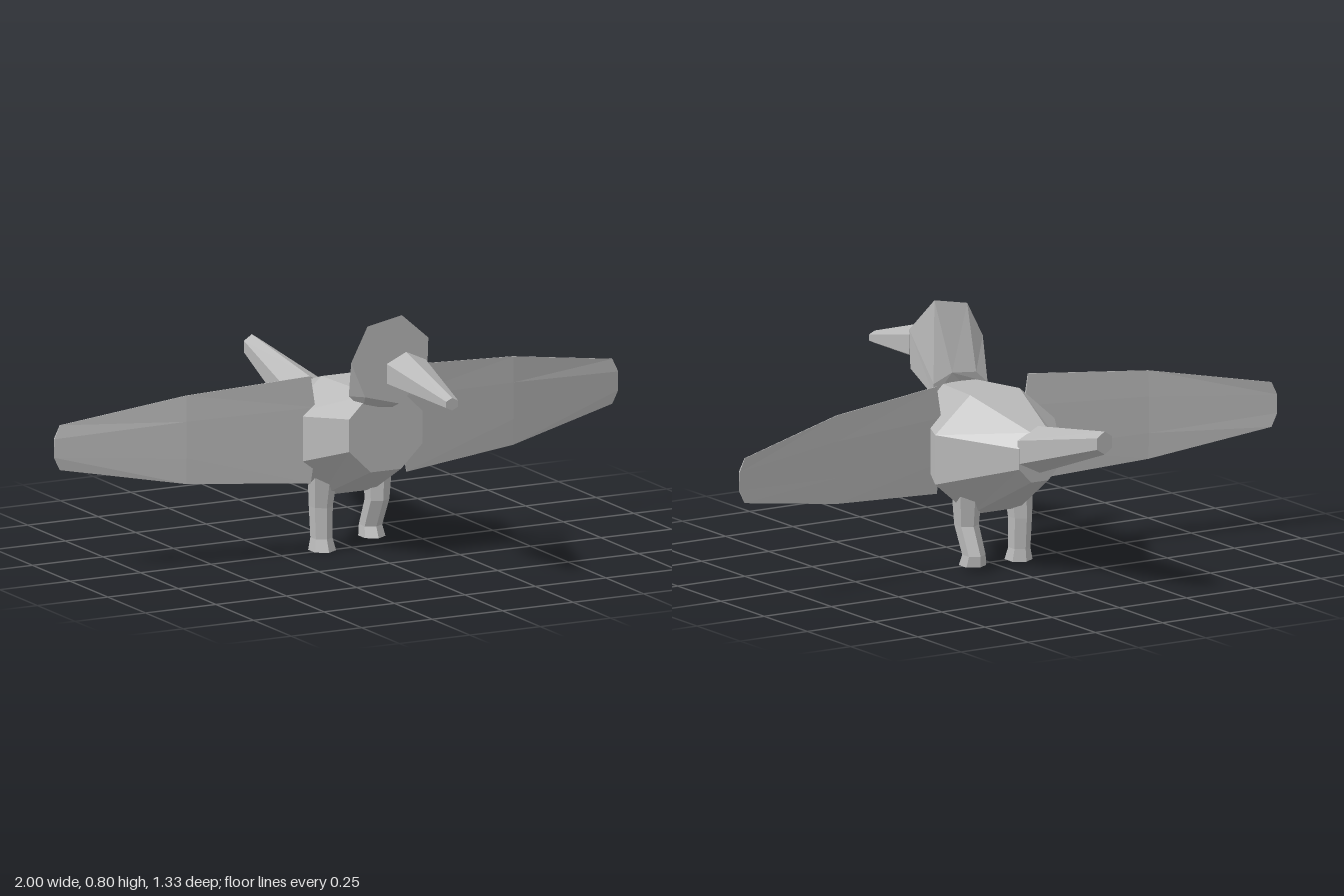
import * as THREE from 'three';

const grey = new THREE.MeshStandardMaterial({ color: 0xb8b8b8, flatShading: true });
grey.name = 'grey';

// Regular polygon of n points mapped through fn(cos, sin)
const ring = (n, startDeg, fn) => Array.from({ length: n }, (_, i) => {
  const a = THREE.MathUtils.degToRad(startDeg) + (i * Math.PI * 2) / n;
  return new THREE.Vector3(...fn(Math.cos(a), Math.sin(a)));
});

// Skin a list of equal-length rings, cap both ends, and face outward
function loft(name, rings) {
  const tris = [];
  const n = rings[0].length;
  for (let r = 0; r < rings.length - 1; r++) {
    for (let i = 0; i < n; i++) {
      const j = (i + 1) % n;
      const [a, b, c, d] = [rings[r][i], rings[r][j], rings[r + 1][j], rings[r + 1][i]];
      tris.push([a, b, c], [a, c, d]);
    }
  }
  const last = rings[rings.length - 1];
  for (let i = 1; i < n - 1; i++) {
    tris.push([rings[0][0], rings[0][i + 1], rings[0][i]], [last[0], last[i], last[i + 1]]);
  }
  const volume = tris.reduce((s, [a, b, c]) => s + a.dot(b.clone().cross(c)), 0);
  const points = tris.flatMap(([a, b, c]) => (volume < 0 ? [a, c, b] : [a, b, c]));
  const geometry = new THREE.BufferGeometry().setFromPoints(points);
  geometry.computeVertexNormals();
  const mesh = new THREE.Mesh(geometry, grey);
  mesh.name = name;
  return mesh;
}

// Hexagonal spike along z, with a ridge on top: sections are [z, y, halfWidth, halfHeight]
const spike = (name, sections) => loft(name, sections.map(([z, y, w, h]) =>
  ring(6, 90, (c, s) => [(c * w) / 0.866, y + s * h, z])));

// Flattened eight-sided wing, swept back toward the tip
function wing(name, side) {
  const sections = [
    // x, halfHeight, z, halfThickness, edge shift in x
    [0.155, 0.172, 0.043, 0.004, 0.015],
    [0.58, 0.142, -0.016, 0.004, 0],
    [1.0, 0.072, -0.106, 0.003, -0.02],
  ];
  return loft(name, sections.map(([x, h, z, t, shift]) =>
    ring(8, 22.5, (c, s) => {
      const v = s / 0.924;
      return [side * (x + shift * Math.max(0, Math.abs(v) - 0.45) / 0.55), 0.405 + v * h, z + c * t];
    })));
}

// Hexagonal leg: sections are [x, y, z, radius]
const leg = (name, sections) => loft(name, sections.map(([x, y, z, r]) =>
  ring(6, 90, (c, s) => [x + c * r, y, z + s * r * 1.08])));

export function createModel() {
  const model = new THREE.Group();
  model.name = 'bird';

  // Octagonal body, widest in the middle: z, centre y, halfWidth, halfHeight
  const bodySections = [
    [0.225, 0.418, 0.13, 0.126],
    [-0.03, 0.362, 0.222, 0.192],
    [-0.29, 0.396, 0.077, 0.08],
  ];
  model.add(loft('body', bodySections.map(([z, y, w, h]) =>
    ring(8, 22.5, (c, s) => [(c * w) / 0.924, y + (s * h) / 0.924, z]))));

  // Seven-sided head flaring forward from the neck
  model.add(loft('head', [
    ring(7, 75, (c, s) => [c * 0.105, 0.53 + s * 0.05, s < -0.6 ? 0.2 : 0.175]),
    ring(7, 75, (c, s) => [c * 0.143, 0.655 + s * 0.145, 0.262]),
  ]));

  // Beak and tail
  model.add(spike('beak', [[0.36, 0.638, 0.069, 0.063], [0.665, 0.595, 0.021, 0.02]]));
  model.add(spike('tail', [[-0.28, 0.416, 0.077, 0.076], [-0.665, 0.512, 0.028, 0.037]]));

  // Wings
  model.add(wing('leftWing', 1), wing('rightWing', -1));

  // Left leg bent back, right leg standing
  model.add(leg('leftLeg', [
    [0.107, 0.24, -0.034, 0.046], [0.104, 0.14, -0.028, 0.038],
    [0.101, 0.05, -0.066, 0.036], [0.101, 0.015, -0.057, 0.042],
  ]));
  model.add(leg('rightLeg', [
    [-0.1, 0.24, -0.008, 0.046], [-0.1, 0.14, -0.02, 0.037],
    [-0.1, 0.04, -0.016, 0.034], [-0.1, 0, -0.011, 0.043],
  ]));

  return model;
}
